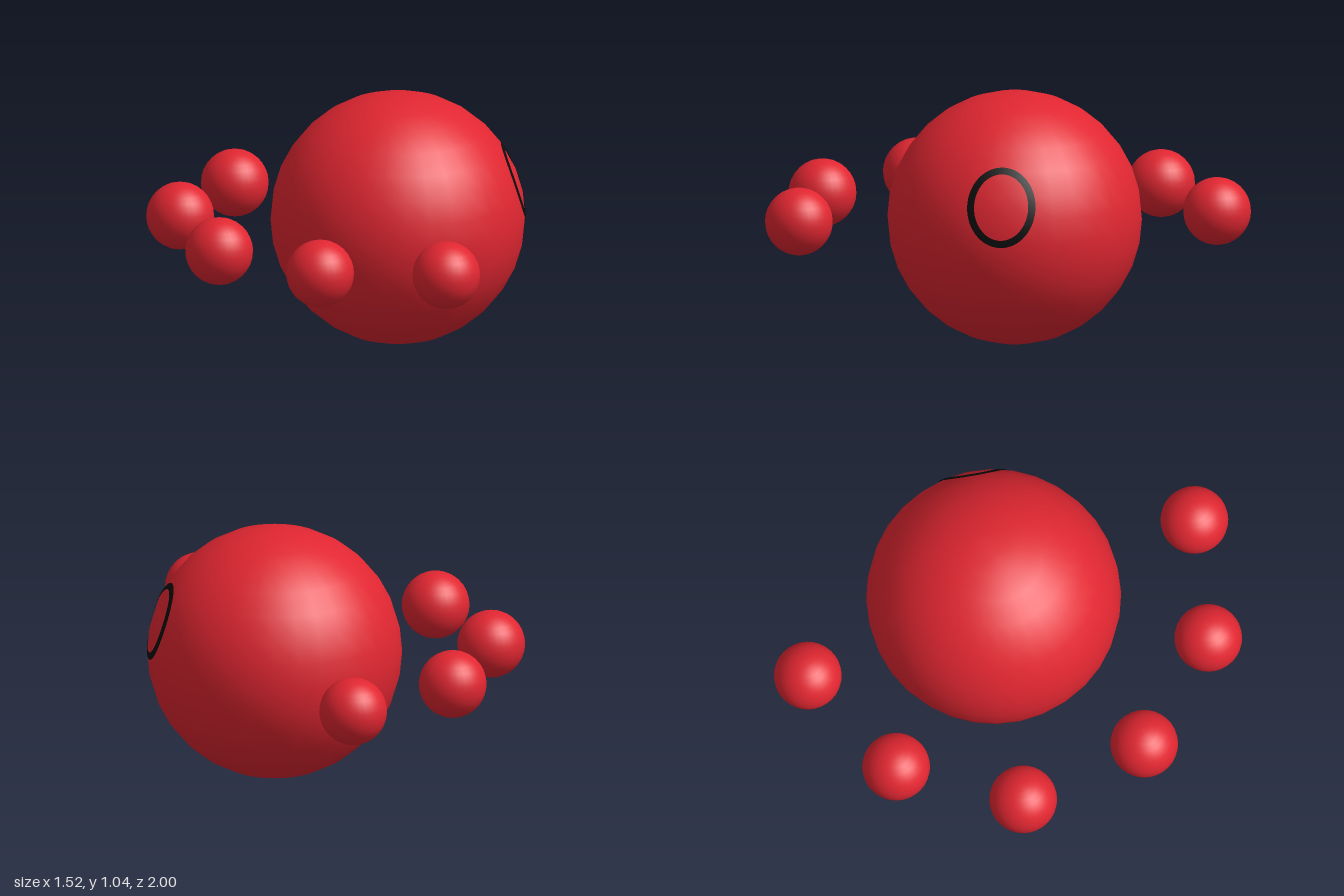
import * as THREE from 'three';

const red = new THREE.MeshStandardMaterial({ color: 0xe02631 });
red.name = 'red';
const black = new THREE.MeshStandardMaterial({ color: 0x0c0c0c, side: THREE.DoubleSide });
black.name = 'black';

const BODY_RADIUS = 0.522;
const BODY_CENTER = new THREE.Vector3(0.235, 0.526, -0.027);

function ball(name, radius, x, y, z) {
  const mesh = new THREE.Mesh(new THREE.SphereGeometry(radius, 32, 16), red);
  mesh.name = name;
  mesh.position.set(x, y, z);
  return mesh;
}

// Thin oval band lying on a sphere, centred on a direction; half-angles in degrees
function ovalBand(radius, direction, halfWidth, halfHeight, thickness) {
  const d = direction.clone().normalize();
  const u = new THREE.Vector3(0, 1, 0).cross(d).normalize();
  const v = d.clone().cross(u);
  const steps = 72, rows = 3;
  const positions = [], normals = [], index = [];
  for (let i = 0; i <= steps; i++) {
    const t = (i / steps) * Math.PI * 2;
    for (let j = 0; j <= rows; j++) {
      const inset = thickness * (1 - j / rows);
      const a = Math.tan(THREE.MathUtils.degToRad(halfWidth - inset)) * Math.cos(t);
      const b = Math.tan(THREE.MathUtils.degToRad(halfHeight - inset)) * Math.sin(t);
      const n = d.clone().addScaledVector(u, a).addScaledVector(v, b).normalize();
      normals.push(n.x, n.y, n.z);
      positions.push(n.x * radius, n.y * radius, n.z * radius);
      if (i < steps && j < rows) {
        const p = i * (rows + 1) + j, q = p + rows + 1;
        index.push(p, p + 1, q, q, p + 1, q + 1);
      }
    }
  }
  const geometry = new THREE.BufferGeometry();
  geometry.setAttribute('position', new THREE.Float32BufferAttribute(positions, 3));
  geometry.setAttribute('normal', new THREE.Float32BufferAttribute(normals, 3));
  geometry.setIndex(index);
  return geometry;
}

export function createModel() {
  const model = new THREE.Group();
  model.name = 'ballCluster';

  // Large central ball
  model.add(ball('body', BODY_RADIUS, ...BODY_CENTER.toArray()));

  // Painted oval outline on the left side of the body
  const outline = new THREE.Mesh(
    ovalBand(BODY_RADIUS * 1.003, new THREE.Vector3(0.925, 0.307, 0.225), 15.6, 18.4, 3.3), black);
  outline.name = 'ovalOutline';
  outline.position.copy(BODY_CENTER);
  model.add(outline);

  // Small balls in an open arc around the body: [x, z]
  const satellites = new THREE.Group();
  satellites.name = 'smallBalls';
  [[0.233, -0.862], [-0.277, -0.695], [-0.62, -0.279],
    [-0.602, 0.272], [-0.289, 0.7], [0.203, 0.859]].forEach(([x, z], i) => {
    satellites.add(ball(`smallBall${i + 1}`, 0.139, x, 0.526, z));
  });
  model.add(satellites);

  return model;
}
